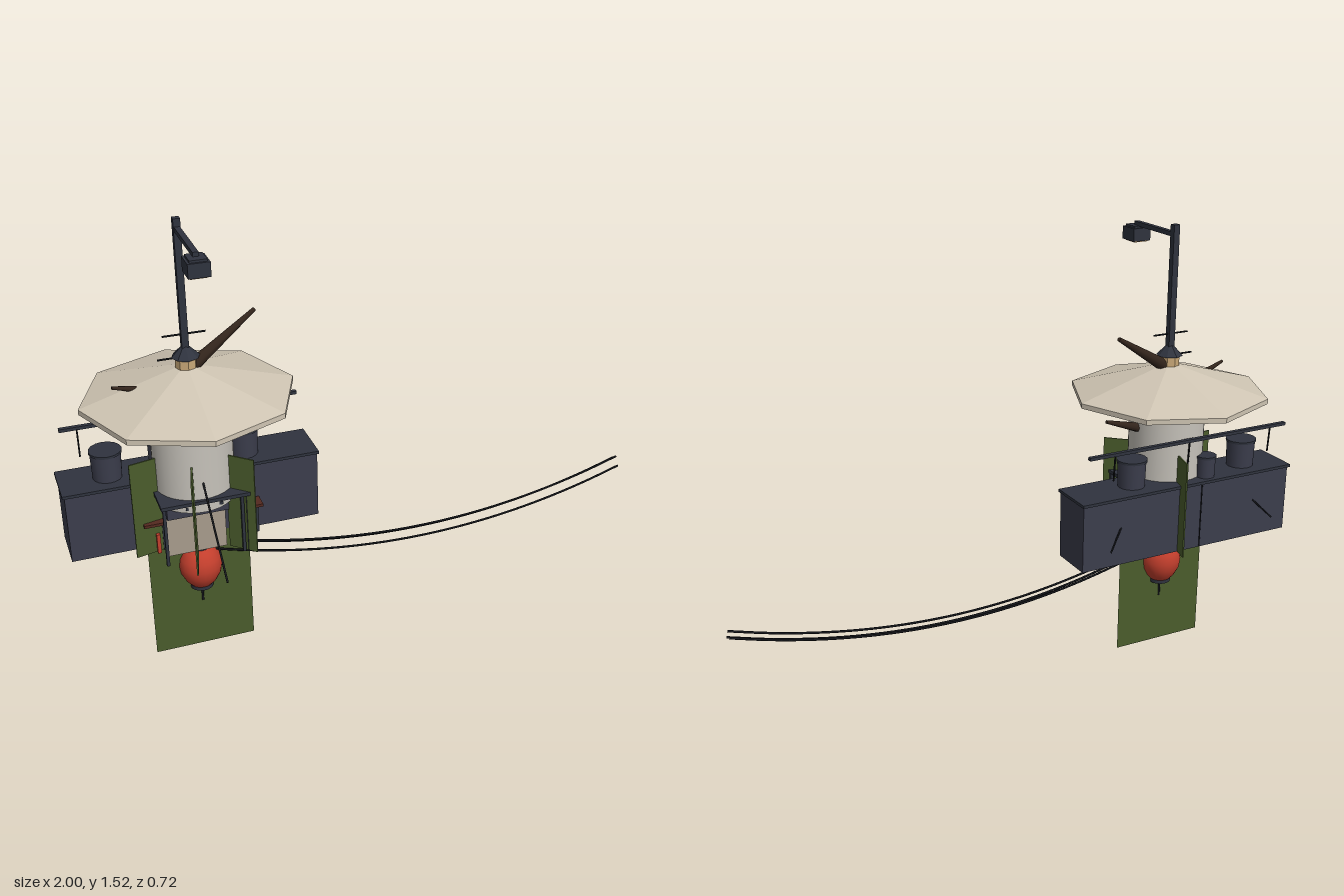
import * as THREE from 'three';

const CX = -0.577, CZ = -0.02; // vertical axis of the tower
const V = (x, y, z) => new THREE.Vector3(x, y, z);
const mat = (color, flatShading = false, side = THREE.FrontSide) =>
  new THREE.MeshStandardMaterial({ color, flatShading, side });

const M = {
  slate: mat(0x3b3d4c), metal: mat(0x2f333e), line: mat(0x15171b), wood: mat(0x33251c),
  green: mat(0x4a5c2c, false, THREE.DoubleSide), red: mat(0xc43f2d), redBrown: mat(0x54291f),
  roof: mat(0xcfc5b3, true), plaster: mat(0xc6c2ba), tan: mat(0xc9a878, true), beige: mat(0xa89c8c),
  capMetal: mat(0x2f333e, true),
};

export function createModel() {
  const root = new THREE.Group();

  const add = (name, geo, m, x = 0, y = 0, z = 0) => {
    const mesh = new THREE.Mesh(geo, m);
    mesh.name = name;
    mesh.position.set(x, y, z);
    root.add(mesh);
    return mesh;
  };
  // box given by its limits on each axis
  const box = (name, m, x0, x1, y0, y1, z0, z1) =>
    add(name, new THREE.BoxGeometry(x1 - x0, y1 - y0, z1 - z0), m,
      (x0 + x1) / 2, (y0 + y1) / 2, (z0 + z1) / 2);
  // round stick between two points
  const stick = (name, m, a, b, r0, r1 = r0, sides = 6) => {
    const d = b.clone().sub(a);
    const mesh = add(name, new THREE.CylinderGeometry(r1, r0, d.length(), sides), m);
    mesh.position.copy(a).addScaledVector(d, 0.5);
    mesh.quaternion.setFromUnitVectors(V(0, 1, 0), d.normalize());
    return mesh;
  };
  const lathe = (name, m, pts, sides) =>
    add(name, new THREE.LatheGeometry(pts.map(p => new THREE.Vector2(...p)), sides), m, CX, 0, CZ);

  // Octagonal roof
  lathe('roof', M.roof, [[0, 0.943], [0.34, 0.943], [0.34, 0.96], [0, 1.06]], 8);

  // Round tower with a shallow conical top
  add('towerDrum', new THREE.CylinderGeometry(0.13, 0.13, 0.305, 32), M.plaster, CX, 0.7525, CZ);
  add('towerTop', new THREE.CylinderGeometry(0.05, 0.13, 0.035, 32), M.plaster, CX, 0.922, CZ);

  // Roof finial
  add('finialBlock', new THREE.CylinderGeometry(0.034, 0.034, 0.05, 8), M.tan, CX, 1.063, CZ);
  add('finialCap', new THREE.CylinderGeometry(0.01, 0.045, 0.036, 8), M.capMetal, CX, 1.102, CZ);

  // Lamp post, arm and lamp
  box('lampPost', M.metal, CX - 0.011, CX + 0.011, 1.09, 1.525, CZ - 0.011, CZ + 0.011);
  box('lampArm', M.metal, CX - 0.009, CX + 0.009, 1.485, 1.5, CZ, 0.215);
  box('lampBody', M.metal, CX - 0.033, CX + 0.033, 1.436, 1.48, 0.177, 0.25);
  box('lampTop', M.metal, CX - 0.026, CX + 0.026, 1.48, 1.487, 0.184, 0.243);
  box('lampGlass', M.tan, CX - 0.026, CX + 0.026, 1.432, 1.438, 0.184, 0.243);

  // Antenna rods
  stick('antennaRod', M.line, V(-0.645, 1.158, CZ), V(-0.51, 1.158, CZ), 0.003);
  stick('antennaRod', M.line, V(-0.665, 1.083, CZ), V(CX, 1.083, CZ), 0.003);

  // Branches growing through roof and wall
  stick('branch', M.wood, V(-0.555, 1.05, -0.02), V(-0.338, 1.182, -0.078), 0.022, 0.007, 8);
  stick('branch', M.wood, V(-0.70, 0.992, -0.018), V(-0.813, 1.025, 0.0), 0.013, 0.005, 8);
  stick('branch', M.wood, V(-0.455, 0.846, -0.03), V(-0.315, 0.894, -0.052), 0.017, 0.006, 8);

  // Rear balcony box with rim
  box('balconyBox', M.slate, -0.99, -0.16, 0.425, 0.66, -0.18, -0.023);
  box('balconyRim', M.metal, -0.997, -0.155, 0.66, 0.67, -0.187, -0.018);

  // Barrels on the balcony
  for (const [x, z, r, h] of [[-0.84, -0.1, 0.05, 0.1], [-0.39, -0.1, 0.05, 0.1], [-0.665, -0.14, 0.034, 0.08]]) {
    add('barrel', new THREE.CylinderGeometry(r, r * 0.94, h, 16), M.slate, x, 0.665 + h / 2, z);
    add('barrelRim', new THREE.CylinderGeometry(r * 1.06, r * 1.06, 0.008, 16), M.metal, x, 0.663 + h, z);
  }

  // Rear rail with hangers
  box('rail', M.metal, -0.968, -0.182, 0.818, 0.829, -0.178, -0.163);
  for (const x of [-0.912, CX, -0.284])
    stick('railHanger', M.line, V(x, 0.725, -0.158), V(x, 0.822, -0.165), 0.003);

  // Struts leaning outward
  for (const s of [-1, 1])
    stick('rearStrut', M.line, V(CX + s * 0.27, 0.56, -0.178), V(CX + s * 0.33, 0.495, -0.215), 0.003);
  stick('rearRod', M.line, V(-0.625, 0.43, -0.183), V(-0.625, 0.66, -0.183), 0.002);
  stick('frontStrut', M.line, V(CX, 0.705, 0.108), V(CX, 0.495, 0.36), 0.0035);

  // Radial hanging panels: angle from the front towards +x
  for (const deg of [-78, -14.5, 47, 166.5]) {
    const a = THREE.MathUtils.degToRad(deg), r = 0.168;
    const p = add('hangingPanel', new THREE.BoxGeometry(0.005, 0.34, 0.1), M.green,
      CX + r * Math.sin(a), 0.595, CZ + r * Math.cos(a));
    p.rotation.y = a;
  }

  // Long banner below
  add('longBanner', new THREE.PlaneGeometry(0.342, 0.44), M.green, CX, 0.22, CZ);

  // Stall under the tower
  box('stallTop', M.metal, -0.717, -0.43, 0.635, 0.647, -0.02, 0.12);
  box('stallCounter', M.beige, -0.695, -0.5, 0.425, 0.565, -0.02, 0.055);
  box('stallCabinet', M.slate, -0.69, -0.46, 0.565, 0.635, -0.02, 0.065);
  box('stallBar', M.metal, -0.635, -0.515, 0.61, 0.62, 0.07, 0.1);
  for (const x of [-0.706, -0.455, -0.438])
    box('stallLeg', M.metal, x - 0.005, x + 0.005, 0.425, 0.64, 0.1, 0.11);

  // Small side tables
  for (const x of [-0.72, -0.407]) {
    box('tableTop', M.redBrown, x - 0.04, x + 0.04, 0.532, 0.542, -0.018, 0.035);
    for (const dx of [-0.025, 0.025])
      box('tableLeg', M.metal, x + dx - 0.004, x + dx + 0.004, 0.425, 0.532, 0.004, 0.012);
  }
  box('redFlask', M.red, -0.722, -0.71, 0.425, 0.495, 0.015, 0.027);

  // Lantern with caps and tassel
  lathe('lantern', M.red, [[0.034, 0.248], [0.052, 0.268], [0.067, 0.297], [0.072, 0.327],
    [0.067, 0.357], [0.052, 0.383], [0.034, 0.4]], 24);
  for (const y of [0.246, 0.402])
    add('lanternCap', new THREE.CylinderGeometry(0.038, 0.038, 0.014, 20), M.metal, CX, y, CZ);
  stick('lanternTassel', M.line, V(CX, 0.177, CZ), V(CX, 0.245, CZ), 0.004);
  stick('lanternHook', M.line, V(CX, 0.405, CZ), V(CX, 0.43, CZ), 0.006);

  // Three sagging cables
  for (const [z, lift] of [[-0.045, 0.015], [-0.026, 0.03], [-0.008, 0]]) {
    const pts = [];
    for (let i = 0; i <= 12; i++) {
      const x = -0.54 + (1.54 * i) / 12;
      pts.push(V(x, 0.262 + lift + 0.208 * (x - 0.22) ** 2, z));
    }
    add('cable', new THREE.TubeGeometry(new THREE.CatmullRomCurve3(pts), 48, 0.0038, 6), M.line);
  }

  return root;
}
